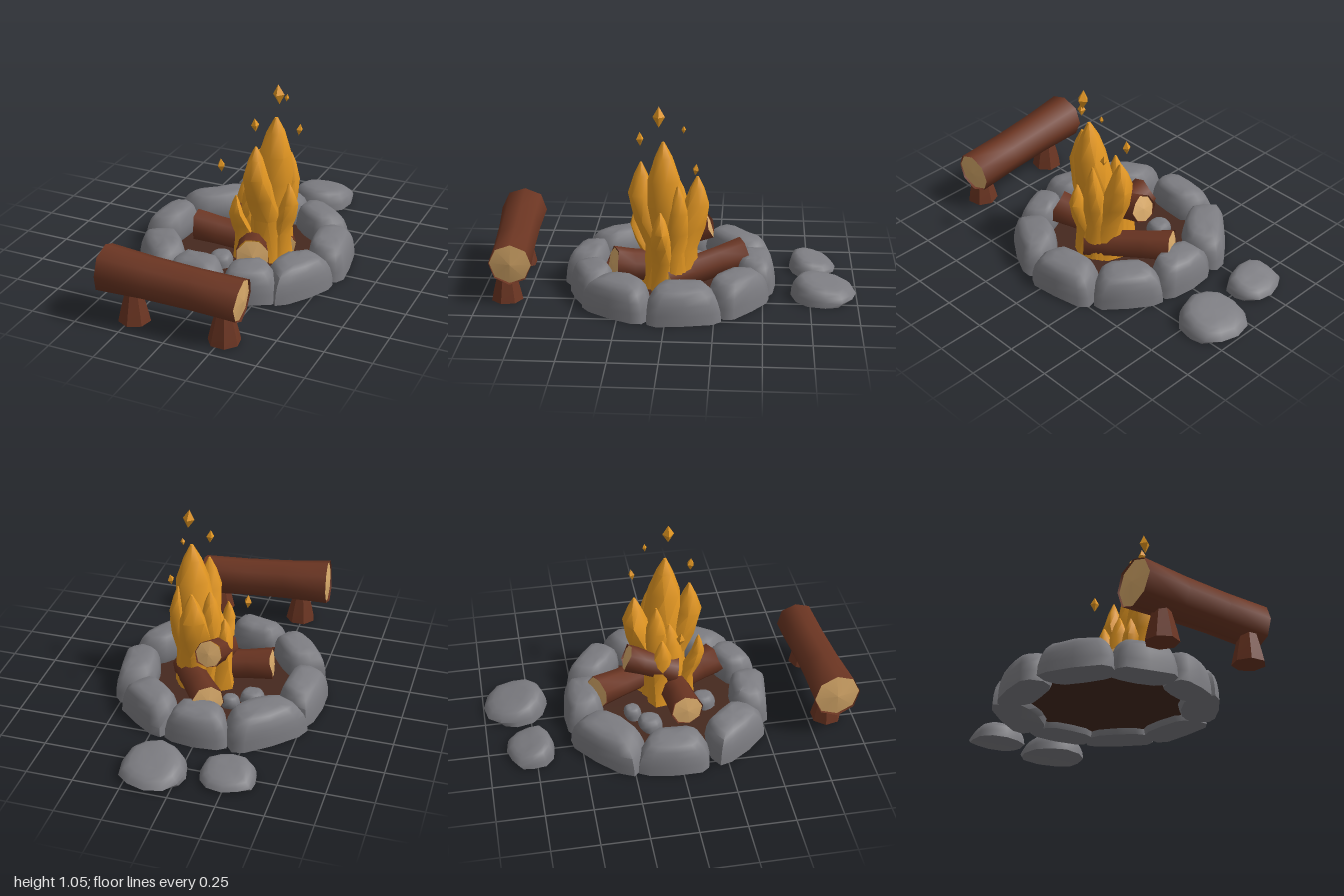
import * as THREE from 'three';
import { toCreasedNormals } from 'three/addons/utils/BufferGeometryUtils.js';

const mat = (name, color, side = THREE.FrontSide) => {
  const m = new THREE.MeshStandardMaterial({ color, side });
  m.name = name;
  return m;
};

// Repeatable noise in -1..1
const noise = (n) => {
  const s = Math.sin(n * 127.1 + 11.7) * 43758.5453;
  return (s - Math.floor(s)) * 2 - 1;
};

// Closed skin over rings of points that run upward
function loft(rings, crease) {
  const n = rings[0].length, pos = [], idx = [];
  const mid = (r) => r.reduce((s, p) => s.map((v, k) => v + p[k] / n), [0, 0, 0]);
  rings.forEach((r) => r.forEach((p) => pos.push(...p)));
  pos.push(...mid(rings[0]), ...mid(rings[rings.length - 1]));
  const bottom = rings.length * n, top = bottom + 1, last = bottom - n;
  for (let j = 0; j < n; j++) {
    const k = (j + 1) % n;
    for (let i = 0; i < rings.length - 1; i++) {
      const a = i * n + j, b = i * n + k;
      idx.push(a, a + n, b, b, a + n, b + n);
    }
    idx.push(bottom, j, k, top, last + k, last + j);
  }
  const g = new THREE.BufferGeometry();
  g.setAttribute('position', new THREE.Float32BufferAttribute(pos, 3));
  g.setIndex(idx);
  return toCreasedNormals(g, crease);
}

// Rounded stone; wedge widens the +z side, slope raises it, and the -z side tucks in at the foot
function stoneGeometry(hx, h, hz, seed, { wedge = 0, power = 0.9, slope = -0.06 } = {}) {
  const n = 12, levels = 6;
  const rings = Array.from({ length: levels }, (_, i) => {
    const a = (i / (levels - 1)) * Math.PI / 2, s = 0.4 + 0.6 * Math.cos(a) ** 0.7;
    return Array.from({ length: n }, (_, j) => {
      const b = (j / n) * Math.PI * 2, c = Math.cos(b), d = Math.sin(b);
      const w = s * (1 + 0.05 * noise(seed * 31 + j));
      const tuck = i === 0 && d < 0 ? 0.72 : 1;
      const z = Math.sign(d) * Math.abs(d) ** power * w;
      const x = Math.sign(c) * Math.abs(c) ** power * w * (1 + wedge * z);
      const lift = 1 + 0.03 * noise(seed * 17 + j) + slope * z;
      return [x * hx, Math.sin(a) * h * lift, z * hz * tuck];
    });
  });
  return loft(rings, 1.1);
}

// Flame tongue that narrows from its base, then leans over to a pointed tip
function tongueGeometry([bx, bz, tx, ty, tz, r], seed) {
  const n = 7, foot = 0.05;
  const steps = [0, 0.35, 0.55, 0.75, 0.9, 1], girth = [1, 0.8, 0.76, 0.63, 0.34, 0.06];
  return loft(steps.map((t, i) => {
    const lean = THREE.MathUtils.smoothstep(t, 0.25, 0.78);
    return Array.from({ length: n }, (_, j) => {
      const a = ((j + 0.25 * i) / n) * Math.PI * 2;
      const w = r * girth[i] * (1 + 0.13 * noise(seed * 23 + j));
      return [bx + (tx - bx) * lean + Math.cos(a) * w, foot + (ty - foot) * t,
        bz + (tz - bz) * lean + Math.sin(a) * w];
    });
  }), 0.9);
}

export function createModel() {
  const stone = mat('stone grey', 0x7c7c81);
  const bark = mat('bark brown', 0x6b3522, THREE.DoubleSide);
  const cutWood = mat('cut wood tan', 0xd6a869);
  const fire = mat('flame orange', 0xe39722);
  const soil = mat('dark soil', 0x46291f, THREE.DoubleSide);

  const model = new THREE.Group();
  model.name = 'campfire';
  const add = (parent, name, geo, material, x = 0, y = 0, z = 0) => {
    const m = new THREE.Mesh(geo, material);
    m.name = name;
    m.position.set(x, y, z);
    parent.add(m);
    return m;
  };
  const group = (name) => {
    const g = new THREE.Group();
    g.name = name;
    model.add(g);
    return g;
  };

  // Fire bed
  add(model, 'fireBed', new THREE.CircleGeometry(0.42, 20).rotateX(-Math.PI / 2), soil, 0, 0.03, 0);

  // Stone ring: angle in degrees and half width; wide stones are also deeper
  const ring = group('stoneRing');
  [
    [-90, 0.168], [-51, 0.185], [-10, 0.19], [31, 0.185], [64, 0.145],
    [100, 0.165], [139, 0.19], [184, 0.185], [228, 0.22],
  ].forEach(([deg, hx], i) => {
    const a = deg * Math.PI / 180, r = 0.4 + 0.33 * hx;
    const geo = stoneGeometry(hx, 0.185, 0.07 + 0.24 * hx, i + 1, { wedge: 0.17, power: 0.64 });
    add(ring, 'ringStone', geo, stone, Math.cos(a) * r, 0, Math.sin(a) * r).rotation.y = Math.PI / 2 - a;
  });

  // Loose stones behind the ring, sloping down to the back
  const loose = group('looseStones');
  const flat = { slope: 0.4 };
  add(loose, 'smallStone', stoneGeometry(0.15, 0.08, 0.128, 20, flat), stone, -0.25, 0, -0.775);
  add(loose, 'largeStone', stoneGeometry(0.18, 0.093, 0.172, 21, flat), stone, 0.125, 0, -0.828);

  // Pebbles in the fire bed
  [[-0.2, -0.12, 0.068], [-0.1, -0.2, 0.05], [-0.06, 0.2, 0.065]].forEach(([x, z, r], i) => {
    add(loose, 'pebble', stoneGeometry(r, 0.065, r, i + 22), stone, x, 0.036, z);
  });

  // Log between two points, with flared bark ends and slightly domed cuts
  function log(parent, name, from, to, r0, r1, seed) {
    const a = new THREE.Vector3(...from), b = new THREE.Vector3(...to);
    const len = a.distanceTo(b), sides = 8;
    const g = new THREE.Group();
    g.name = name;
    g.position.copy(a).lerp(b, 0.5);
    g.quaternion.setFromUnitVectors(new THREE.Vector3(0, 1, 0), b.clone().sub(a).normalize());
    parent.add(g);
    const geo = new THREE.CylinderGeometry(r1, r0, len, sides, 3, true);
    const p = geo.attributes.position;
    for (let i = 0; i < p.count; i++) {
      const j = i % (sides + 1) % sides, t = Math.abs(p.getY(i)) / len * 2;
      const w = (0.92 + 0.08 * t * t) * (1 + 0.05 * noise(seed * 13 + j));
      const out = t > 0.9 ? 0.012 * noise(seed * 29 + j) * Math.sign(p.getY(i)) : 0;
      p.setXYZ(i, p.getX(i) * w, p.getY(i) + out, p.getZ(i) * w);
    }
    add(g, 'bark', toCreasedNormals(geo, 0.9), bark);
    [[-1, r0], [1, r1]].forEach(([s, r]) => {
      const h = r * 0.14;
      const cut = new THREE.ConeGeometry(r * 0.95, h, sides, 1, true).rotateX((1 - s) * Math.PI / 2);
      add(g, 'cutEnd', cut, cutWood, 0, s * (len / 2 + h / 2 - 0.004), 0);
    });
  }

  // Bench: log seat on two stubby legs
  const bench = group('bench');
  log(bench, 'seatLog', [-0.39, 0.268, 0.86], [0.343, 0.227, 0.822], 0.13, 0.116, 3);
  [-0.235, 0.265].forEach((x) => {
    const section = (y, r) => Array.from({ length: 7 }, (_, j) => {
      const a = (j / 7) * Math.PI * 2 + x;
      return [x + Math.cos(a) * r, y, 0.855 + Math.sin(a) * r];
    });
    add(bench, 'benchLeg', loft([section(0, 0.085), section(0.06, 0.072), section(0.19, 0.038)], 0.6), bark);
  });

  // Firewood
  const wood = group('firewood');
  log(wood, 'backLog', [-0.03, 0.172, -0.385], [0.22, 0.11, 0.02], 0.09, 0.08, 5);
  log(wood, 'leaningLog', [0.02, 0.35, -0.21], [0.01, 0.25, 0.05], 0.076, 0.08, 6);
  log(wood, 'sideLog', [-0.262, 0.17, 0.075], [0.12, 0.12, 0.03], 0.088, 0.085, 7);
  log(wood, 'frontLog', [0.165, 0.17, 0.297], [0.05, 0.12, 0.02], 0.093, 0.085, 8);

  // Flames: base x, z, then tip x, y, z, then base radius
  const flames = group('flames');
  [
    [0.14, 0, 0.182, 0.86, 0.03, 0.14], [0.14, 0.03, 0.12, 0.73, 0.15, 0.115],
    [0.14, -0.05, 0.13, 0.66, -0.148, 0.11], [0.08, -0.03, 0.06, 0.63, -0.04, 0.09],
    [0.19, -0.02, 0.235, 0.64, -0.05, 0.085], [0.2, 0.03, 0.262, 0.5, 0.04, 0.075],
    [0.04, 0.04, 0.05, 0.52, 0.03, 0.09], [0.04, 0.1, 0.023, 0.45, 0.185, 0.06],
    [0, -0.03, -0.015, 0.46, -0.02, 0.075],
  ].forEach((t, i) => add(flames, 'flameTongue', tongueGeometry(t, i + 2), fire));

  // Sparks: x, y, z, half height
  const sparks = group('sparks');
  [
    [0.203, 1, 0.05, 0.055], [0.195, 0.933, -0.078, 0.022], [0.117, 0.855, 0.155, 0.038],
    [0.243, 0.735, -0.143, 0.033], [-0.122, 0.545, 0.06, 0.04],
  ].forEach(([x, y, z, h], i) => {
    const s = add(sparks, 'spark', toCreasedNormals(new THREE.OctahedronGeometry(1), 0.4), fire, x, y, z);
    s.scale.set(h * 0.58, h, h * 0.58);
    s.rotation.set(0, i * 0.3, i % 2 ? -0.15 : 0.08);
  });

  return model;
}
